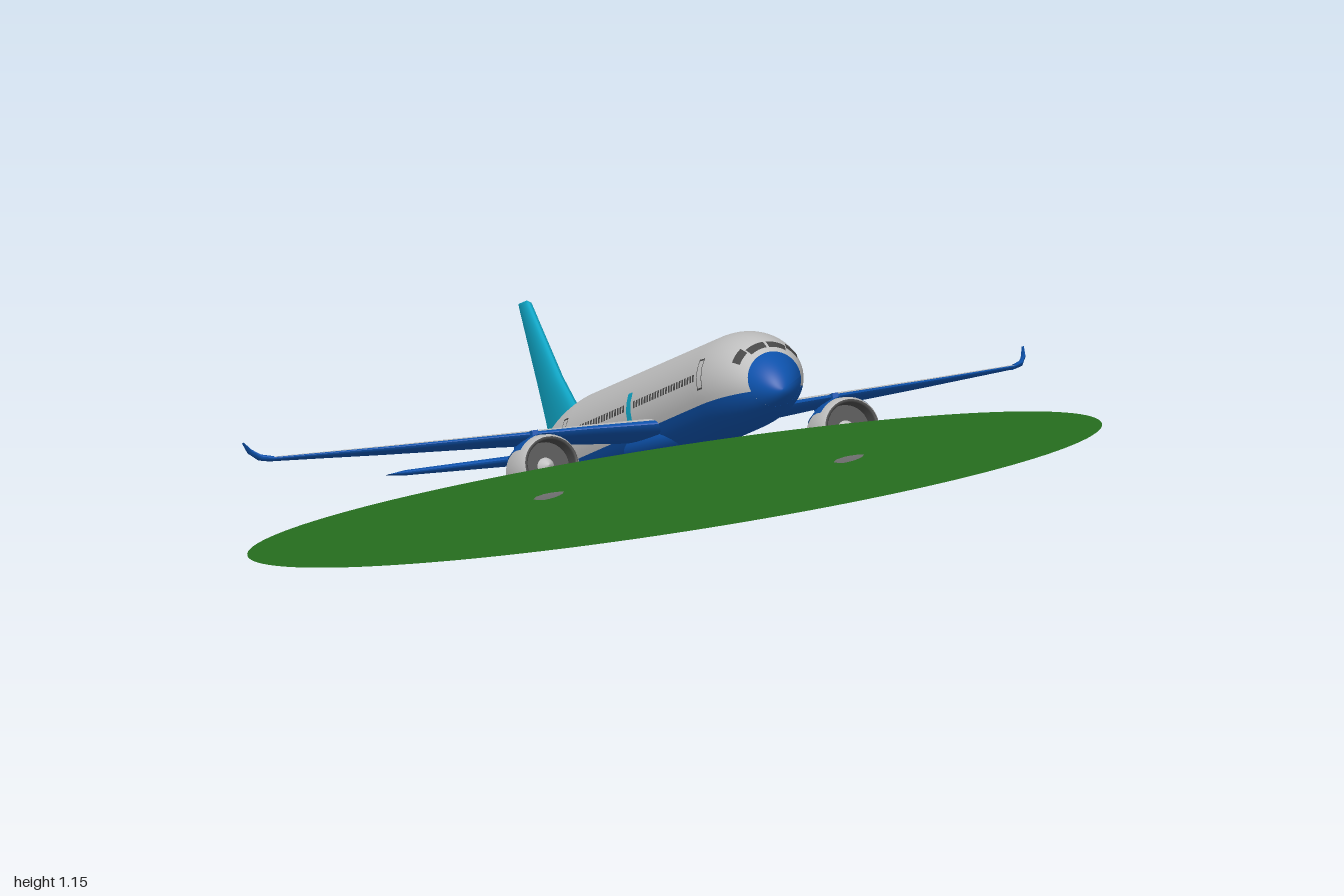
import * as THREE from 'three';
import { mergeGeometries } from 'three/addons/utils/BufferGeometryUtils.js';

const mat = (name, color) => {
  const m = new THREE.MeshStandardMaterial({ color, side: THREE.DoubleSide });
  m.name = name;
  return m;
};
const M = {
  grey: mat('light grey', 0xc6c6c6),
  blue: mat('blue', 0x0d52ac),
  teal: mat('teal', 0x0fa6c6),
  dark: mat('dark grey', 0x4a4a4a),
  green: mat('green', 0x4cc83e),
};
const RAD = Math.PI / 180;

function add(parent, name, geometry, material) {
  const mesh = new THREE.Mesh(geometry, material);
  mesh.name = name;
  parent.add(mesh);
  return mesh;
}

// Surface through a grid of points fn(i, j)
function grid(nu, nv, fn, flip = false) {
  const pos = [], index = [];
  for (let i = 0; i <= nu; i++) for (let j = 0; j <= nv; j++) pos.push(...fn(i, j));
  for (let i = 0; i < nu; i++) for (let j = 0; j < nv; j++) {
    const a = i * (nv + 1) + j, b = a + nv + 1;
    if (flip) index.push(a, b + 1, b, a, a + 1, b + 1);
    else index.push(a, b, b + 1, a, b + 1, a + 1);
  }
  const g = new THREE.BufferGeometry();
  g.setAttribute('position', new THREE.Float32BufferAttribute(pos, 3));
  g.setIndex(index);
  g.computeVertexNormals();
  return g;
}

// Fuselage section at z: centre height, half height, half width
function section(z) {
  let top = 0.287, bottom = 0.057, w = 0.115;
  if (z > 0.66) {
    const k = Math.pow(Math.max(0, 1 - Math.pow((z - 0.66) / 0.352, 2.4)), 0.55);
    top = 0.117 + 0.17 * k;
    bottom = 0.117 - 0.06 * k;
    w *= k;
  } else if (z < -0.45) {
    const t = (-0.45 - z) / 0.55;
    top -= 0.08 * Math.pow(t, 1.6);
    bottom += 0.12 * Math.pow(t, 1.3);
    w *= 1 - 0.87 * Math.pow(t, 1.7);
  }
  return { cy: (top + bottom) / 2, h: (top - bottom) / 2, w };
}

// Patch of the fuselage skin between two angles and two stations
function skin(z0, z1, a0, a1, nz, na, off = 0, ease = 1) {
  return grid(na, nz, (i, j) => {
    const z = z1 - (z1 - z0) * Math.pow(1 - j / nz, ease);
    const a = a0 + (a1 - a0) * i / na, s = section(z);
    return [(s.w + off) * Math.cos(a), s.cy + (s.h + off) * Math.sin(a), z];
  });
}

// Small plate on the fuselage side, given by its height range
function plate(side, z0, z1, y0, y1, off = 0.002) {
  const s = section((z0 + z1) / 2);
  const [a0, a1] = [y0, y1].map((y) => Math.asin((y - s.cy) / s.h));
  return side > 0 ? skin(z0, z1, a0, a1, 1, 3, off)
    : skin(z0, z1, Math.PI - a1, Math.PI - a0, 1, 3, off);
}

// Half of an aerofoil loft; sections are [span, height, leading z, chord, thickness]
function foil(sections, from, to, up, side) {
  const n = 10;
  return grid(n, sections.length - 1, (i, j) => {
    const [x, y, z, chord, t] = sections[j];
    const f = from + (to - from) * Math.pow(i / n, 1.6);
    const h = up * t * 1.3 * Math.sqrt(f) * (1 - f);
    return [side * x, y + h, z - f * chord];
  }, (up > 0) === (side > 0));
}
const wholeFoil = (sections, side) =>
  mergeGeometries([foil(sections, 0, 1, 1, side), foil(sections, 0, 1, -1, side)]);

function buildFuselage(plane) {
  const split = -21 * RAD;
  add(plane, 'fuselageUpper', skin(-1, 0.955, split, Math.PI - split, 90, 36), M.grey);
  add(plane, 'fuselageBelly', skin(-1, 0.955, Math.PI - split, Math.PI * 2 + split, 90, 24), M.blue);
  add(plane, 'noseCone', skin(0.955, 1.012, 0, Math.PI * 2, 14, 40, 0, 2.2), M.blue);
  const tail = add(plane, 'tailTip', new THREE.SphereGeometry(0.015, 16, 10), M.blue);
  tail.position.set(0, 0.192, -1);
  const fairing = add(plane, 'wingFairing', new THREE.SphereGeometry(1, 32, 16), M.blue);
  fairing.scale.set(0.118, 0.055, 0.28);
  fairing.position.set(0, 0.102, 0.12);

  const windows = [], frames = [], exits = [], cockpit = [];
  for (const side of [1, -1]) {
    // Cabin windows
    for (let z = -0.425; z < 0.69; z += 0.0235) {
      if (Math.abs(z - 0.117) > 0.03) windows.push(plate(side, z - 0.007, z + 0.007, 0.186, 0.202));
    }
    // Door outlines
    for (const z of [0.725, -0.46]) {
      const lo = 0.163, hi = 0.232, r = 0.019, e = 0.004;
      frames.push(plate(side, z - r, z - r + e, lo, hi), plate(side, z + r - e, z + r, lo, hi),
        plate(side, z - r, z + r, lo, lo + e), plate(side, z - r, z + r, hi - e, hi));
    }
    exits.push(plate(side, 0.098, 0.136, 0.158, 0.224, 0.003));
    // Windscreen panes
    for (const [a0, a1, z0, z1] of [[0.5, 0.93, 0.897, 0.927], [0.97, 1.53, 0.915, 0.941]]) {
      cockpit.push(side > 0 ? skin(z0, z1, a0, a1, 4, 6, 0.002)
        : skin(z0, z1, Math.PI - a1, Math.PI - a0, 4, 6, 0.002));
    }
  }
  add(plane, 'cabinWindows', mergeGeometries(windows), M.dark);
  add(plane, 'doorOutlines', mergeGeometries(frames), M.dark);
  add(plane, 'wingExits', mergeGeometries(exits), M.teal);
  add(plane, 'windscreen', mergeGeometries(cockpit), M.dark);
}

function buildEngine(side) {
  const engine = new THREE.Group();
  engine.name = side > 0 ? 'leftEngine' : 'rightEngine';
  engine.position.set(side * 0.365, 0.072, 0.17);
  const turn = (pts, start = 0, length = Math.PI * 2) => new THREE.LatheGeometry(
    pts.map(([r, y]) => new THREE.Vector2(r, y)), 36, start, length).rotateX(Math.PI / 2);
  add(engine, 'nacelle', turn([[0.05, -0.11], [0.064, -0.06], [0.073, 0], [0.075, 0.05], [0.071, 0.09], [0.064, 0.108]]), M.grey);
  add(engine, 'nacelleTop', turn([[0.058, -0.09], [0.066, -0.06], [0.075, 0], [0.077, 0.05], [0.0745, 0.078]],
    Math.PI - 0.95, 1.9), M.blue);
  add(engine, 'intakeLip', turn([[0.064, 0.108], [0.06, 0.111], [0.057, 0.104], [0.056, 0.05]]), M.dark);
  add(engine, 'fan', new THREE.CircleGeometry(0.057, 32), M.dark).position.z = 0.055;
  add(engine, 'spinner', turn([[0.02, 0.056], [0.013, 0.075], [0, 0.087]]), M.grey);
  add(engine, 'exhaust', turn([[0, -0.15], [0.02, -0.125], [0.034, -0.11], [0.05, -0.11]]), M.dark);
  const pylon = add(engine, 'pylon', new THREE.BoxGeometry(0.014, 0.035, 0.17), M.blue);
  pylon.position.set(0, 0.073, -0.075);
  return engine;
}

function buildWing(plane, side) {
  const wing = new THREE.Group();
  wing.name = side > 0 ? 'leftWing' : 'rightWing';
  plane.add(wing);
  const main = [
    [0.05, 0.122, 0.35, 0.41, 0.05], [0.11, 0.13, 0.315, 0.38, 0.045], [0.25, 0.145, 0.23, 0.31, 0.034],
    [0.4, 0.158, 0.143, 0.242, 0.026], [0.65, 0.178, -0.005, 0.148, 0.018], [0.9, 0.2, -0.152, 0.054, 0.01]];
  add(wing, 'wingTop', foil(main, 0.035, 1, 1, side), M.grey);
  add(wing, 'leadingEdge', foil(main, 0, 0.035, 1, side), M.blue);
  add(wing, 'wingUnderside', foil(main, 0, 1, -1, side), M.blue);
  const tip = [[0.9, 0.2, -0.15, 0.058, 0.012], [0.925, 0.208, -0.168, 0.05, 0.014],
    [0.94, 0.225, -0.19, 0.042, 0.012], [0.948, 0.25, -0.22, 0.018, 0]];
  add(wing, 'winglet', wholeFoil(tip, side), M.blue);
  wing.add(buildEngine(side));

  // Tailplane half
  const stab = [[0.02, 0.182, -0.785, 0.2, 0.026], [0.06, 0.185, -0.812, 0.185, 0.024],
    [0.34, 0.201, -1.007, 0.052, 0.012], [0.375, 0.204, -1.045, 0.023, 0]];
  add(plane, side > 0 ? 'leftTailplane' : 'rightTailplane', wholeFoil(stab, side), M.blue);
}

export function createModel() {
  const model = new THREE.Group();
  model.name = 'airlinerOnDisc';
  model.position.set(-0.01, 0.5, 0.095);
  const tilted = new THREE.Group();
  tilted.name = 'tiltedAssembly';
  tilted.rotation.set(-30 * RAD, -30 * RAD, 0, 'YXZ');
  model.add(tilted);

  add(tilted, 'groundDisc', new THREE.CircleGeometry(1.0025, 128).rotateX(-Math.PI / 2), M.green);

  const plane = new THREE.Group();
  plane.name = 'airliner';
  plane.rotation.x = 1.2 * RAD;
  tilted.add(plane);
  buildFuselage(plane);
  for (const side of [1, -1]) buildWing(plane, side);

  // Upright fin, lofted sideways and turned up
  const fin = [[0.2, 0, -0.63, 0.335, 0.036], [0.27, 0, -0.695, 0.28, 0.034], [0.36, 0, -0.8, 0.2, 0.03],
    [0.553, 0, -0.967, 0.093, 0.02], [0.561, 0, -0.985, 0.075, 0]];
  add(plane, 'tailFin', wholeFoil(fin, 1).rotateZ(Math.PI / 2), M.teal);

  const root = new THREE.Group();
  root.name = 'model';
  root.add(model);
  return root;
}
